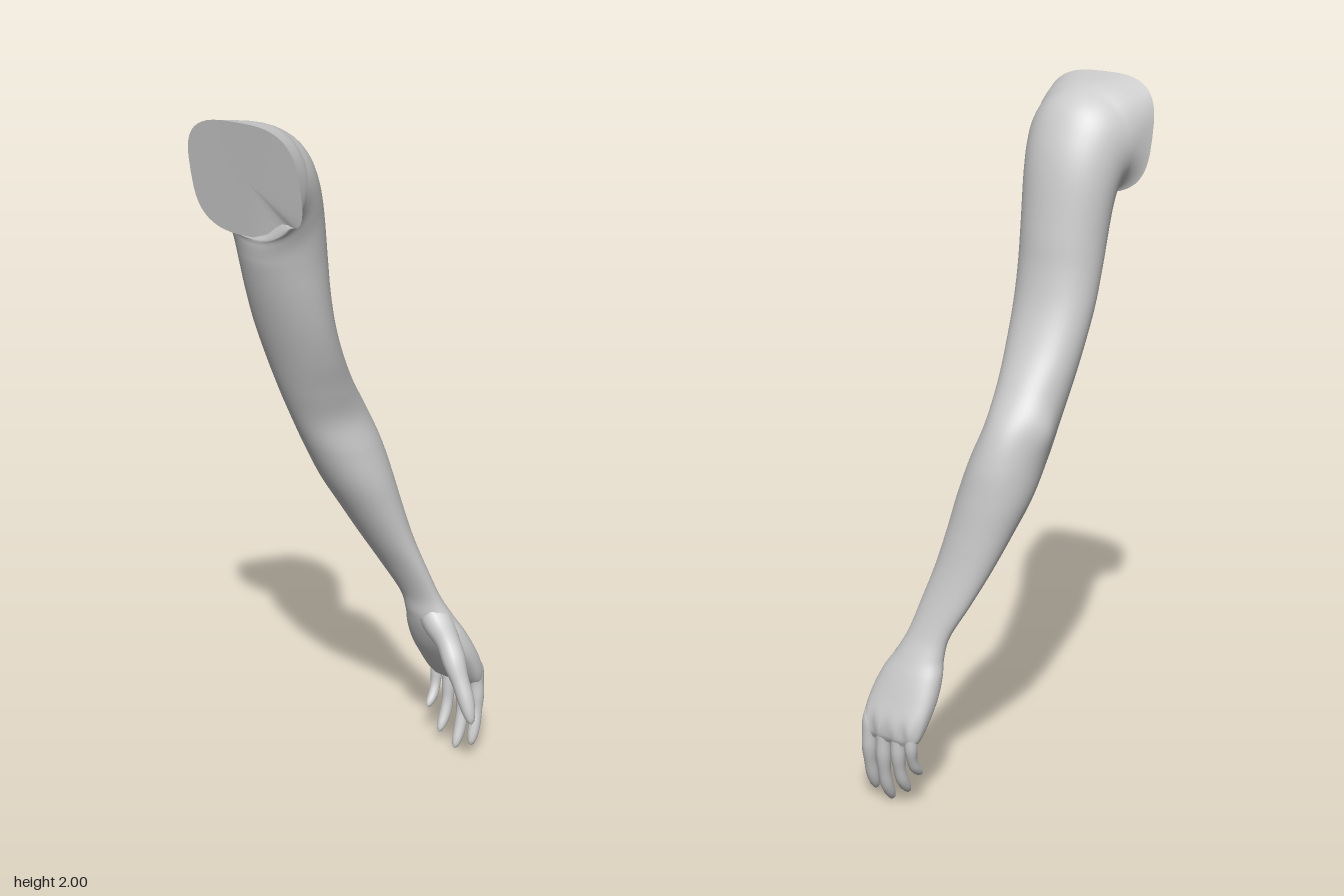
import * as THREE from 'three';
import { mergeVertices } from 'three/addons/utils/BufferGeometryUtils.js';

const SIDES = 48, STEPS = 200;
const material = new THREE.MeshStandardMaterial({ color: 0xcccccc, roughness: 0.8 });

// Arm sections from shoulder cut to knuckles:
// inner x, inner y, outer x, outer y, back z, front z
const SECTIONS = [
  [-0.312, 1.68, -0.375, 2.0, -0.272, 0.075],
  [-0.314, 1.675, -0.275, 1.98, -0.258, 0.066],
  [-0.312, 1.665, -0.2, 1.94, -0.247, 0.055],
  [-0.31, 1.65, -0.15, 1.87, -0.24, 0.045],
  [-0.305, 1.625, -0.113, 1.77, -0.234, 0.034],
  [-0.297, 1.59, -0.085, 1.61, -0.228, 0.025],
  [-0.27, 1.5, -0.07, 1.5, -0.226, 0.02],
  [-0.235, 1.4, -0.045, 1.4, -0.225, 0.014],
  [-0.196, 1.3, 0.0, 1.3, -0.22, 0.004],
  [-0.155, 1.2, 0.062, 1.2, -0.213, -0.01],
  [-0.11, 1.1, 0.13, 1.1, -0.205, -0.016],
  [-0.065, 1.0, 0.167, 1.0, -0.195, 0.01],
  [-0.015, 0.9, 0.185, 0.9, -0.178, 0.034],
  [0.043, 0.8, 0.2, 0.8, -0.145, 0.05],
  [0.1, 0.7, 0.218, 0.7, -0.108, 0.067],
  [0.155, 0.6, 0.243, 0.6, -0.065, 0.09],
  [0.195, 0.51, 0.272, 0.51, -0.022, 0.112],
  [0.205, 0.45, 0.3, 0.45, -0.013, 0.14],
  [0.22, 0.4, 0.324, 0.4, -0.02, 0.168],
  [0.247, 0.34, 0.348, 0.34, -0.021, 0.187],
  [0.283, 0.28, 0.37, 0.28, -0.014, 0.193],
  [0.312, 0.235, 0.372, 0.235, -0.002, 0.19],
  [0.33, 0.21, 0.362, 0.21, 0.015, 0.178],
];

function makeMesh(name, positions, indices) {
  const geo = new THREE.BufferGeometry();
  geo.setAttribute('position', new THREE.Float32BufferAttribute(positions, 3));
  geo.setIndex(indices);
  geo.computeVertexNormals();
  const mesh = new THREE.Mesh(geo, material);
  mesh.name = name;
  return mesh;
}

const spow = (v, p) => Math.sign(v) * Math.pow(Math.abs(v), p);

// One closed ring between an inner/back corner and an outer/front corner
function ring(lo, hi, t) {
  const mid = lo.clone().add(hi).multiplyScalar(0.5);
  const half = hi.clone().sub(lo).multiplyScalar(0.5);
  const cut = Math.max(0, 1 - t * 18);          // squarer, slightly turned shoulder cut
  const hand = THREE.MathUtils.smoothstep(t, 0.76, 0.9);
  const p = 1 - 0.35 * cut - 0.25 * hand;
  const points = [];
  for (let j = 0; j < SIDES; j++) {
    const a = (j / SIDES) * Math.PI * 2;
    const c = spow(Math.cos(a), p), s = spow(Math.sin(a), p);
    const v = new THREE.Vector3(mid.x + half.x * c, mid.y + half.y * c, mid.z + half.z * s);
    v.x += 0.08 * (v.z - mid.z) * cut;
    // armpit fold rising behind the front flap
    if (c < 0) v.y += 0.05 * cut * c * c * Math.exp(-(((v.z - 0.0) / 0.05) ** 2));
    // elbow point on the back
    const d = ((v.x - 0.04) / 0.045) ** 2 + ((v.y - 1.09) / 0.06) ** 2;
    if (s < 0) v.z -= 0.014 * Math.exp(-d);
    // knuckle ridges on the back of the hand
    if (c > 0) v.x += 0.005 * c * Math.cos((v.z - 0.015) / 0.052 * Math.PI * 2)
      * Math.exp(-(((v.y - 0.25) / 0.035) ** 2));
    points.push(v);
  }
  return points;
}

// Fan that closes a ring; up chooses which way it faces
function cap(name, points, up) {
  const centre = points.reduce((sum, v) => sum.add(v), new THREE.Vector3()).divideScalar(SIDES);
  const positions = [centre, ...points].flatMap((v) => v.toArray());
  const indices = [];
  for (let j = 0; j < SIDES; j++) {
    const a = 1 + j, b = 1 + (j + 1) % SIDES;
    indices.push(0, ...(up ? [b, a] : [a, b]));
  }
  return makeMesh(name, positions, indices);
}

// Tapered, round-tipped digit along a smooth path
function digit(name, path, r0, r1) {
  const curve = new THREE.CatmullRomCurve3(path.map((p) => new THREE.Vector3(...p)));
  const n = 40, m = 16;
  let geo = new THREE.TubeGeometry(curve, n, 1, m);
  const pos = geo.attributes.position;
  const v = new THREE.Vector3();
  for (let i = 0; i <= n; i++) {
    const t = i / n, c = curve.getPointAt(t);
    const tip = Math.max(0, (t - 0.86) / 0.14);
    const joints = 1 + 0.05 * Math.cos((t - 0.45) * Math.PI * 6);
    const r = THREE.MathUtils.lerp(r0, r1, t) * joints * Math.sqrt(Math.max(0.0004, 1 - tip * tip));
    for (let j = 0; j <= m; j++) {
      const k = i * (m + 1) + j;
      v.fromBufferAttribute(pos, k).sub(c).multiplyScalar(r).add(c);
      pos.setXYZ(k, v.x, v.y, v.z);
    }
  }
  geo.deleteAttribute('uv');
  geo.deleteAttribute('normal');
  geo = mergeVertices(geo, 1e-5);
  geo.computeVertexNormals();
  const mesh = new THREE.Mesh(geo, material);
  mesh.name = name;
  return mesh;
}

export function createModel() {
  const group = new THREE.Group();
  group.name = 'arm';

  // Continuous skin from shoulder to palm
  const spline = (pick) => new THREE.CatmullRomCurve3(
    SECTIONS.map((s) => new THREE.Vector3(...pick(s))), false, 'catmullrom', 0.5);
  const inner = spline((s) => [s[0], s[1], s[4]]);
  const outer = spline((s) => [s[2], s[3], s[5]]);
  const rings = [];
  for (let i = 0; i <= STEPS; i++) {
    const t = i / STEPS;
    rings.push(ring(inner.getPoint(t), outer.getPoint(t), t));
  }
  const indices = [];
  for (let i = 0; i < STEPS; i++) {
    for (let j = 0; j < SIDES; j++) {
      const k = (j + 1) % SIDES;
      const a = i * SIDES + j, b = i * SIDES + k;
      indices.push(a, b, a + SIDES, b, b + SIDES, a + SIDES);
    }
  }
  group.add(makeMesh('armAndPalm', rings.flat().flatMap((v) => v.toArray()), indices));
  group.add(cap('shoulderCut', rings[0], true));
  group.add(cap('palmEnd', rings[STEPS], false));

  // Fingers: name, base z, tip z, tip x, tip y, radius
  const fingers = [
    ['indexFinger', 0.166, 0.181, 0.308, 0.025, 0.025],
    ['middleFinger', 0.116, 0.13, 0.298, 0.002, 0.025],
    ['ringFinger', 0.066, 0.074, 0.295, 0.04, 0.024],
    ['littleFinger', 0.018, 0.03, 0.296, 0.108, 0.021],
  ];
  for (const [name, z0, z1, x, y, r] of fingers) {
    const drop = 0.25 - y;
    const z = (t) => THREE.MathUtils.lerp(z0, z1, t);
    group.add(digit(name, [
      [0.325, 0.29, z0],
      [0.347, 0.25, z(0.1)],
      [0.347, 0.25 - drop * 0.42, z(0.45)],
      [0.33, 0.25 - drop * 0.74, z(0.8)],
      [x, y, z1],
    ], r, r * 0.6));
  }

  // Thumb and its fleshy root
  group.add(digit('thumb', [
    [0.245, 0.45, 0.085], [0.232, 0.38, 0.15], [0.212, 0.31, 0.198],
    [0.203, 0.24, 0.235], [0.193, 0.168, 0.266],
  ], 0.045, 0.017));

  return group;
}
